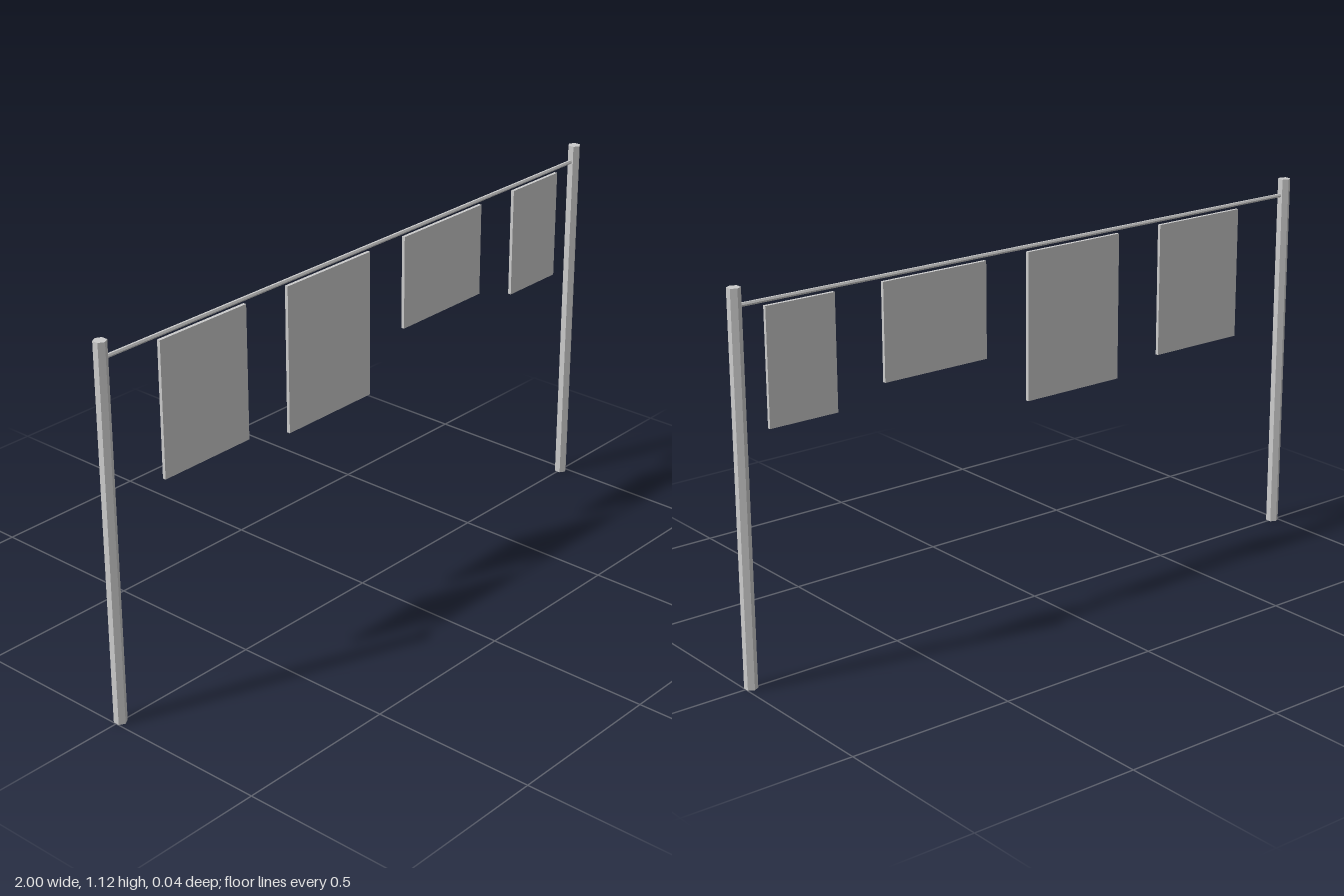
import * as THREE from 'three';

export function createModel() {
  const group = new THREE.Group();
  const grey = new THREE.MeshStandardMaterial({ color: 0xcccccc, flatShading: true });
  grey.name = 'light grey';

  const add = (name, geometry, x, y) => {
    const mesh = new THREE.Mesh(geometry, grey);
    mesh.name = name;
    mesh.position.set(x, y, 0);
    group.add(mesh);
    return mesh;
  };

  // Six-sided posts
  const postHeight = 1.115, postX = 0.983;
  const postGeometry = new THREE.CylinderGeometry(0.019, 0.019, postHeight, 6);
  add('leftPost', postGeometry, postX, postHeight / 2);
  add('rightPost', postGeometry, -postX, postHeight / 2);

  // Line between the posts
  const line = add('clothesLine', new THREE.CylinderGeometry(0.006, 0.006, postX * 2, 6), 0, 1.065);
  line.rotation.z = Math.PI / 2;

  // Hanging cloths: left edge, right edge, bottom
  const top = 1.05;
  [
    [-0.786, -0.47, 0.653],
    [-0.31, 0.027, 0.612],
    [0.176, 0.524, 0.768],
    [0.679, 0.894, 0.717],
  ].forEach(([x0, x1, bottom], i) => {
    add(`cloth${i + 1}`, new THREE.BoxGeometry(x1 - x0, top - bottom, 0.01), (x0 + x1) / 2, (top + bottom) / 2);
  });

  return group;
}
